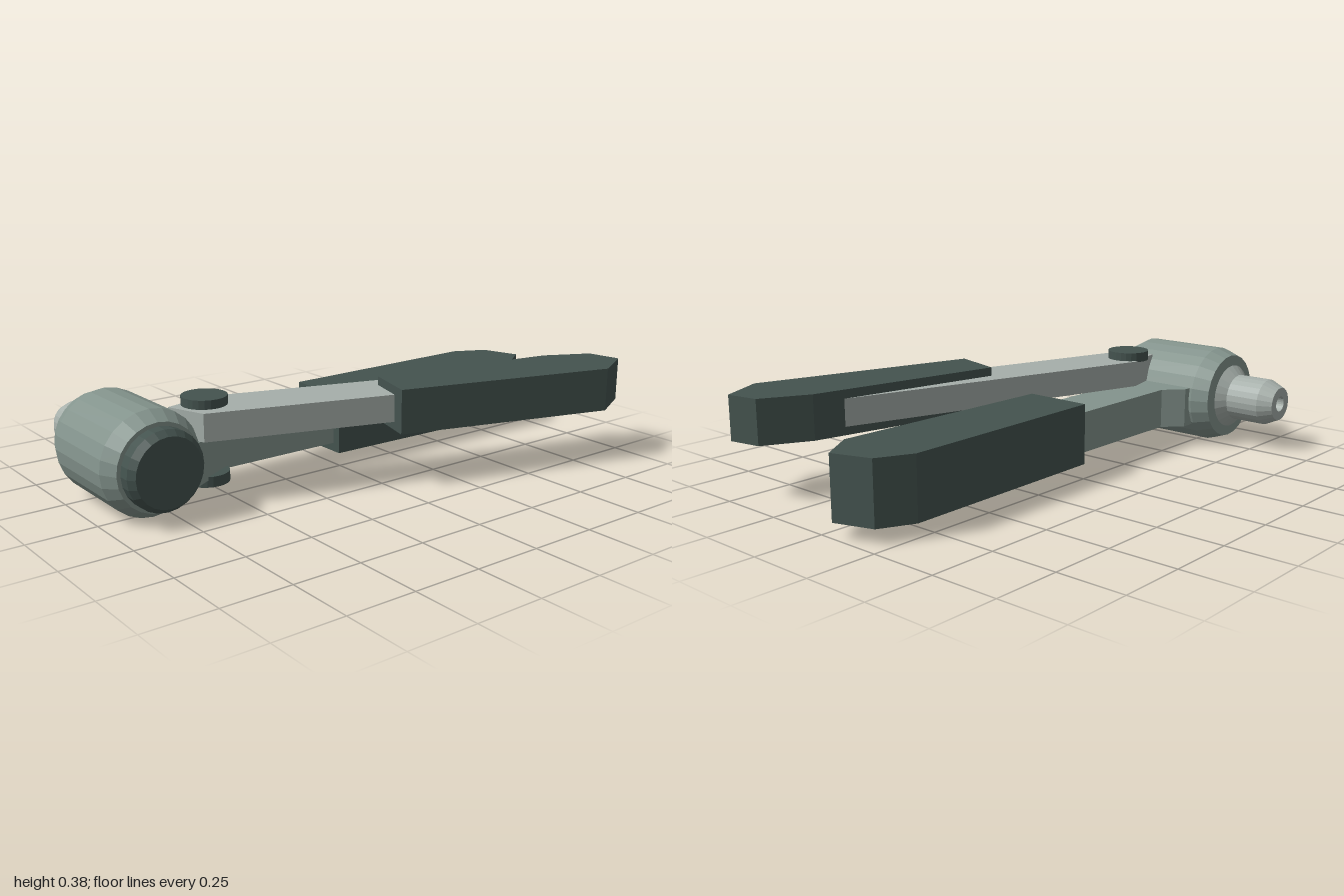
import * as THREE from 'three';

const material = (color) =>
  new THREE.MeshStandardMaterial({ color, flatShading: true });

const BODY = material(0x84948d);
const STEEL = material(0xa6afaa);
const DARK = material(0x44534f);

// Barrel axis runs along x at this height and depth
const AXIS_Y = 0.19;
const AXIS_Z = 0.812;

export function createModel() {
  const model = new THREE.Group();

  const add = (name, geometry, mat) => {
    const mesh = new THREE.Mesh(geometry, mat);
    mesh.name = name;
    model.add(mesh);
    return mesh;
  };

  // Flat plate from a plan outline of [x, z] points, between two heights
  const plate = (name, outline, y0, y1, mat) => {
    const shape = new THREE.Shape(outline.map(([x, z]) => new THREE.Vector2(x, -z)));
    const geometry = new THREE.ExtrudeGeometry(shape, { depth: y1 - y0, bevelEnabled: false });
    geometry.rotateX(-Math.PI / 2);
    geometry.translate(0, y0, 0);
    return add(name, geometry, mat);
  };

  // Turned part along the barrel axis from [radius, x] points
  const turned = (name, profile, mat) => {
    const points = profile.map(([r, x]) => new THREE.Vector2(r, x));
    const geometry = new THREE.LatheGeometry(points, 24);
    geometry.rotateZ(-Math.PI / 2);
    geometry.translate(0, AXIS_Y, AXIS_Z);
    return add(name, geometry, mat);
  };

  // Barrel, end cap and hollow-tipped nozzle
  turned('barrel', [
    [0, -0.36], [0.165, -0.36], [0.188, -0.295], [0.188, 0.035], [0.156, 0.093], [0, 0.093],
  ], BODY);
  turned('endCap', [
    [0, 0.08], [0.142, 0.08], [0.142, 0.135], [0.123, 0.16], [0, 0.16],
  ], DARK);
  turned('nozzle', [
    [0, -0.54], [0.03, -0.54], [0.03, -0.59], [0.065, -0.59], [0.09, -0.535],
    [0.09, -0.4], [0.125, -0.367], [0, -0.367],
  ], STEEL);

  // Fixed lever, flaring out where it joins the barrel
  plate('fixedLever', [
    [-0.22, -0.5], [-0.025, -0.5], [-0.025, 0.475], [0.09, 0.68],
    [-0.285, 0.68], [-0.285, 0.6], [-0.22, 0.53],
  ], 0.088, 0.24, BODY);
  plate('fixedGrip', [
    [-0.246, 0.01], [0.008, 0.01], [0.032, -0.868], [-0.055, -1],
    [-0.2, -0.952], [-0.26, -0.828],
  ], 0.055, 0.28, DARK);

  // Swinging lever resting on top of the fixed one
  plate('swingLever', [
    [-0.06, 0.69], [0.084, 0.637], [0.46, -0.57], [0.28, -0.7], [-0.1, 0.515],
  ], 0.24, 0.34, STEEL);
  plate('swingGrip', [
    [0.15, -0.06], [0.346, -0.005], [0.585, -0.813], [0.503, -0.975],
    [0.38, -0.952], [0.293, -0.784],
  ], 0.21, 0.372, DARK);

  // Pivot heads above and below the levers
  for (const [name, y0, y1] of [['upperPivot', 0.335, 0.372], ['lowerPivot', 0.062, 0.1]]) {
    const head = add(name, new THREE.CylinderGeometry(0.081, 0.081, y1 - y0, 24), DARK);
    head.position.set(-0.024, (y0 + y1) / 2, 0.568);
  }

  return model;
}
